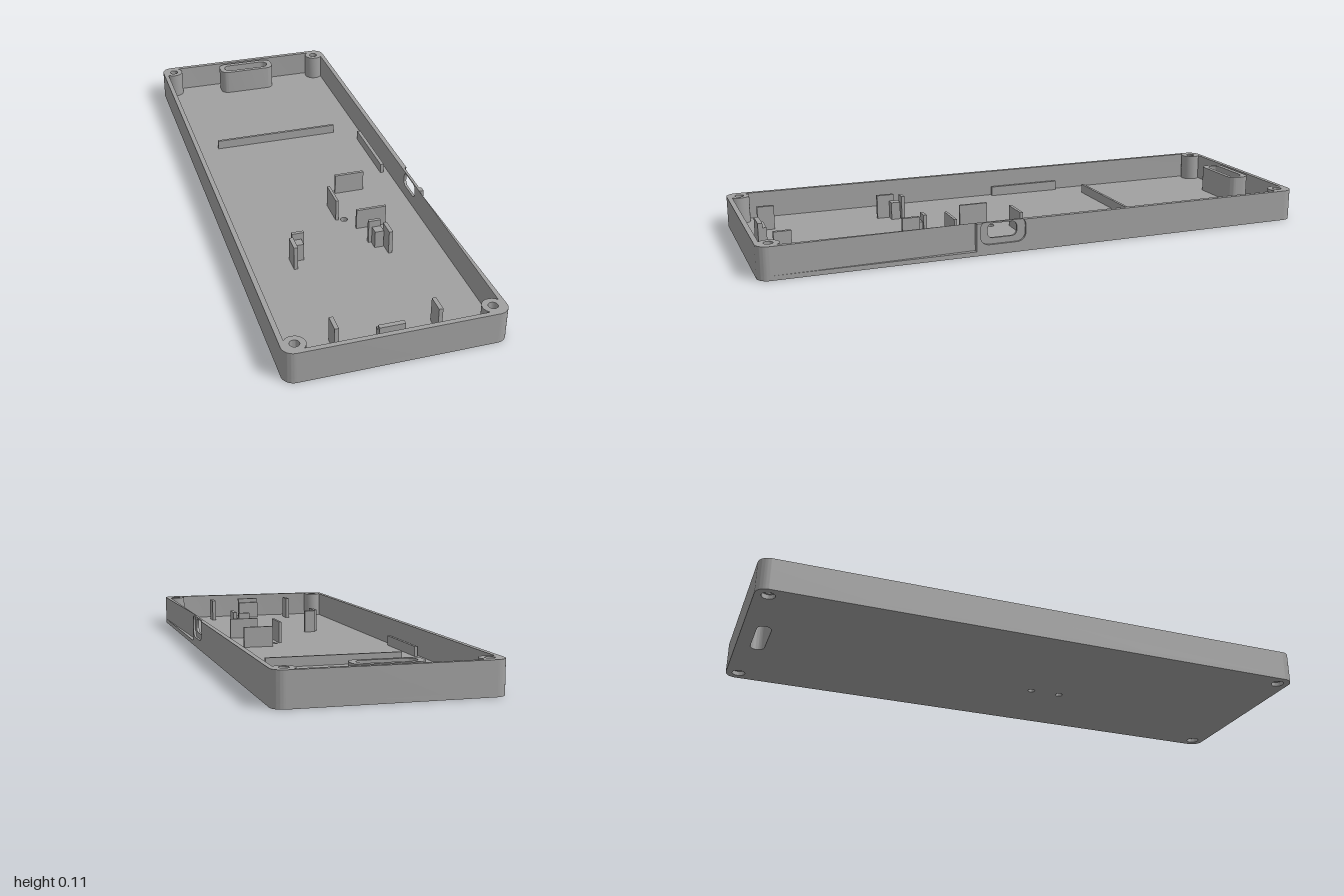
import * as THREE from 'three';
import { toCreasedNormals } from 'three/addons/utils/BufferGeometryUtils.js';

const W = 0.363, L = 1, H = 0.113;       // half width, half length, height
const T = 0.017, FLOOR = 0.016, R = 0.04; // wall, floor, corner radius
const PORT = [0.08, 0.27];               // z range of the port panel in the +x wall
const POST = { x: 0.318, z: 0.955 };

const material = new THREE.MeshStandardMaterial({ color: 0xa0a0a0 });
material.name = 'grey plastic';

function mesh(name, geometry) {
  const m = new THREE.Mesh(geometry, material);
  m.name = name;
  return m;
}

// Rounded rectangle as a Shape or a Path
function roundRect(Type, x0, y0, x1, y1, r) {
  const p = new Type();
  p.moveTo(x0 + r, y0);
  p.lineTo(x1 - r, y0);
  p.absarc(x1 - r, y0 + r, r, -Math.PI / 2, 0);
  p.lineTo(x1, y1 - r);
  p.absarc(x1 - r, y1 - r, r, 0, Math.PI / 2);
  p.lineTo(x0 + r, y1);
  p.absarc(x0 + r, y1 - r, r, Math.PI / 2, Math.PI);
  p.lineTo(x0, y0 + r);
  p.absarc(x0 + r, y0 + r, r, Math.PI, Math.PI * 1.5);
  return p;
}

function circle(Type, x, y, r) {
  const p = new Type();
  p.absarc(x, y, r, 0, Math.PI * 2);
  return p;
}

function extrude(shape, depth) {
  return new THREE.ExtrudeGeometry(shape, { depth, bevelEnabled: false, curveSegments: 10 });
}

// Shape drawn in (x, z), raised from y0 to y1
function raise(name, shape, y0, y1) {
  const g = extrude(shape, y1 - y0).rotateX(Math.PI / 2).translate(0, y1, 0);
  return mesh(name, toCreasedNormals(g, 0.7));
}

// Shape drawn in (-z, y), running from x0 to x1
function sideways(name, shape, x0, x1) {
  const g = extrude(shape, x1 - x0).rotateY(Math.PI / 2).translate(x0, 0, 0);
  return mesh(name, toCreasedNormals(g, 0.7));
}

// Upright rib on the floor
function rib(name, x0, x1, z0, z1, top) {
  const g = new THREE.BoxGeometry(x1 - x0, top - FLOOR, z1 - z0);
  g.translate((x0 + x1) / 2, (top + FLOOR) / 2, (z0 + z1) / 2);
  return mesh(name, g);
}

export function createModel() {
  const model = new THREE.Group();
  model.name = 'enclosureTray';
  const slot = () => roundRect(THREE.Path, -0.097, -0.951, 0.093, -0.902, 0.0244);

  // Floor with screw, strap and button holes
  const floor = roundRect(THREE.Shape, -W, -L, W, L, R);
  floor.holes.push(slot());
  for (const sx of [-1, 1]) for (const sz of [-1, 1]) {
    floor.holes.push(circle(THREE.Path, sx * POST.x, sz * POST.z, 0.023));
  }
  for (const z of [0.114, 0.228]) floor.holes.push(circle(THREE.Path, 0.077, z, 0.013));
  model.add(raise('floor', floor, 0, FLOOR));

  // Wall running round the tray, open where the port panel sits
  const wall = new THREE.Shape();
  const w = W - R, l = L - R, ri = R - T, q = Math.PI / 2;
  const corners = [[w, l, 0], [-w, l, q], [-w, -l, 2 * q], [w, -l, 3 * q]];
  wall.moveTo(W, PORT[1]);
  for (const [x, z, a] of corners) wall.absarc(x, z, R, a, a + q);
  wall.lineTo(W, PORT[0]);
  wall.lineTo(W - T, PORT[0]);
  for (const [x, z, a] of [...corners].reverse()) wall.absarc(x, z, ri, a + q, a, true);
  wall.lineTo(W - T, PORT[1]);
  model.add(raise('wall', wall, FLOOR, H));

  // Port panel: pierced inner layer and notched outer layer
  const port = new THREE.Group();
  port.name = 'portPanel';
  const inner = new THREE.Shape();
  inner.moveTo(-PORT[1], FLOOR);
  inner.lineTo(-PORT[0], FLOOR);
  inner.lineTo(-PORT[0], H);
  inner.lineTo(-PORT[1], H);
  inner.holes.push(roundRect(THREE.Path, -0.228, 0.057, -0.122, 0.108, 0.018));
  port.add(sideways('portOpening', inner, W - T, W - 0.008));
  const outer = new THREE.Shape();
  outer.moveTo(-PORT[1], FLOOR);
  outer.lineTo(-PORT[0], FLOOR);
  outer.lineTo(-PORT[0], H);
  outer.lineTo(-0.1, H);
  outer.quadraticCurveTo(-0.091, 0.104, -0.091, 0.09);
  outer.lineTo(-0.091, 0.068);
  outer.absarc(-0.123, 0.068, 0.032, 0, -q, true);
  outer.lineTo(-0.225, 0.036);
  outer.absarc(-0.225, 0.068, 0.032, -q, -2 * q, true);
  outer.lineTo(-0.257, 0.09);
  outer.quadraticCurveTo(-0.257, 0.104, -0.248, H);
  outer.lineTo(-PORT[1], H);
  port.add(sideways('portRecess', outer, W - 0.008, W));
  model.add(port);

  // Corner screw posts
  for (const sx of [-1, 1]) for (const sz of [-1, 1]) {
    const post = circle(THREE.Shape, sx * POST.x, sz * POST.z, 0.036);
    post.holes.push(circle(THREE.Path, sx * POST.x, sz * POST.z, 0.016));
    model.add(raise('screwPost', post, FLOOR, H));
  }

  // Strap slot collar
  const collar = roundRect(THREE.Shape, -0.117, -0.97, 0.113, -0.885, 0.03);
  collar.holes.push(slot());
  model.add(raise('strapCollar', collar, FLOOR, H));

  // Low ribs
  model.add(
    rib('crossRib', -0.245, 0.24, -0.415, -0.405, 0.05),
    rib('rightSideRib', -0.338, -0.327, -0.325, -0.045, 0.052),
    rib('leftSideRib', 0.315, 0.328, -0.325, -0.045, 0.052),
  );

  // Plates round the port board
  model.add(
    rib('boardBackStop', 0.046, 0.056, 0.12, 0.225, 0.097),
    rib('boardRearPlate', 0.1, 0.21, 0.04, 0.051, 0.092),
    rib('boardFrontPlate', 0.1, 0.21, 0.288, 0.298, 0.092),
  );

  // Mirrored holders about the slightly offset centre line
  const cx = -0.005;
  for (const s of [-1, 1]) {
    const holder = (name, a, b, z0, z1, top) => {
      const xs = [cx + s * a, cx + s * b].sort((p, r) => p - r);
      model.add(rib(name, xs[0], xs[1], z0, z1, top));
    };
    holder('holderEndPlate', 0.117, 0.16, 0.38, 0.392, 0.103);
    holder('holderRest', 0.128, 0.16, 0.395, 0.428, 0.08);
    holder('holderSidePlate', 0.162, 0.176, 0.41, 0.473, 0.103);
    holder('frontSidePlate', 0.162, 0.176, 0.855, 0.915, 0.103);
  }

  // Front clip
  model.add(
    rib('frontClipStep', -0.048, 0.037, 0.915, 0.929, 0.083),
    rib('frontClipBack', -0.048, 0.037, 0.929, 0.945, 0.1),
  );
  return model;
}
